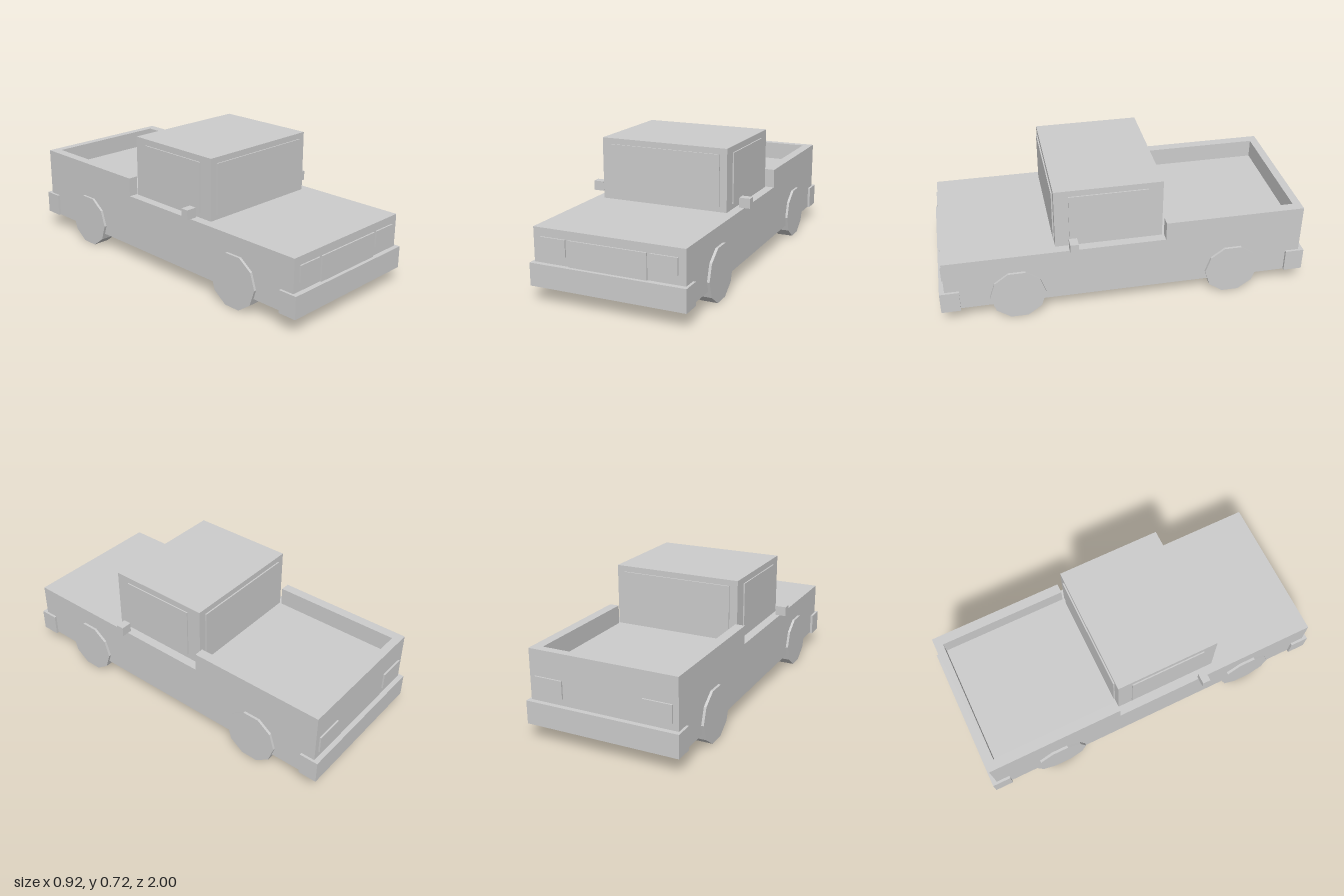
import * as THREE from 'three';

const paint = new THREE.MeshStandardMaterial({ name: 'plain grey', color: 0xcccccc, flatShading: true });

export function createModel() {
  const truck = new THREE.Group();
  truck.name = 'pickupTruck';

  // Box given by its lower and upper bounds on each axis
  function box(name, [x0, x1], [y0, y1], [z0, z1]) {
    const mesh = new THREE.Mesh(new THREE.BoxGeometry(x1 - x0, y1 - y0, z1 - z0), paint);
    mesh.position.set((x0 + x1) / 2, (y0 + y1) / 2, (z0 + z1) / 2);
    mesh.name = name;
    truck.add(mesh);
  }

  // Same box on the left (+x) and right (-x)
  function pair(name, [x0, x1], y, z) {
    box('left' + name, [x0, x1], y, z);
    box('right' + name, [-x1, -x0], y, z);
  }

  // Lower body, with its top forming the hood and the bed floor
  box('body', [-0.41, 0.41], [0.09, 0.385], [-0.973, 0.973]);

  // Bed walls
  pair('BedWall', [0.356, 0.41], [0.385, 0.488], [-0.973, -0.212]);
  box('tailgate', [-0.356, 0.356], [0.385, 0.488], [-0.973, -0.928]);

  // Cab and windows
  box('cab', [-0.36, 0.36], [0.385, 0.72], [-0.2, 0.376]);
  box('windshield', [-0.32, 0.32], [0.412, 0.688], [0.375, 0.383]);
  box('rearWindow', [-0.315, 0.315], [0.412, 0.688], [-0.208, -0.199]);
  pair('SideWindow', [0.359, 0.367], [0.413, 0.686], [-0.12, 0.3]);

  // Mirrors
  pair('Mirror', [0.402, 0.462], [0.402, 0.455], [0.265, 0.309]);

  // Bumpers
  box('frontBumper', [-0.424, 0.424], [0.085, 0.205], [0.897, 1]);
  box('rearBumper', [-0.424, 0.424], [0.091, 0.216], [-1, -0.897]);

  // Grille and lights
  box('grille', [-0.212, 0.212], [0.205, 0.34], [0.972, 0.981]);
  pair('Headlight', [0.228, 0.371], [0.253, 0.34], [0.972, 0.981]);
  pair('TailLight', [0.222, 0.38], [0.253, 0.348], [-0.982, -0.972]);

  // Ten-sided wheels, resting on a flat side
  const wheelShape = new THREE.CylinderGeometry(0.15, 0.15, 0.092, 10);
  wheelShape.rotateY(Math.PI / 2).rotateZ(Math.PI / 2).rotateX(Math.PI / 2);
  wheelShape.computeBoundingBox();
  // Turn by half a side where a corner would point down
  if (wheelShape.boundingBox.min.y < -0.148) wheelShape.rotateX(Math.PI / 10);
  for (const [end, z] of [['front', 0.59], ['rear', -0.588]]) {
    for (const [side, x] of [['Left', 0.378], ['Right', -0.378]]) {
      const wheel = new THREE.Mesh(wheelShape, paint);
      wheel.position.set(x, 0.1427, z);
      wheel.name = end + side + 'Wheel';
      truck.add(wheel);
    }
  }
  return truck;
}
